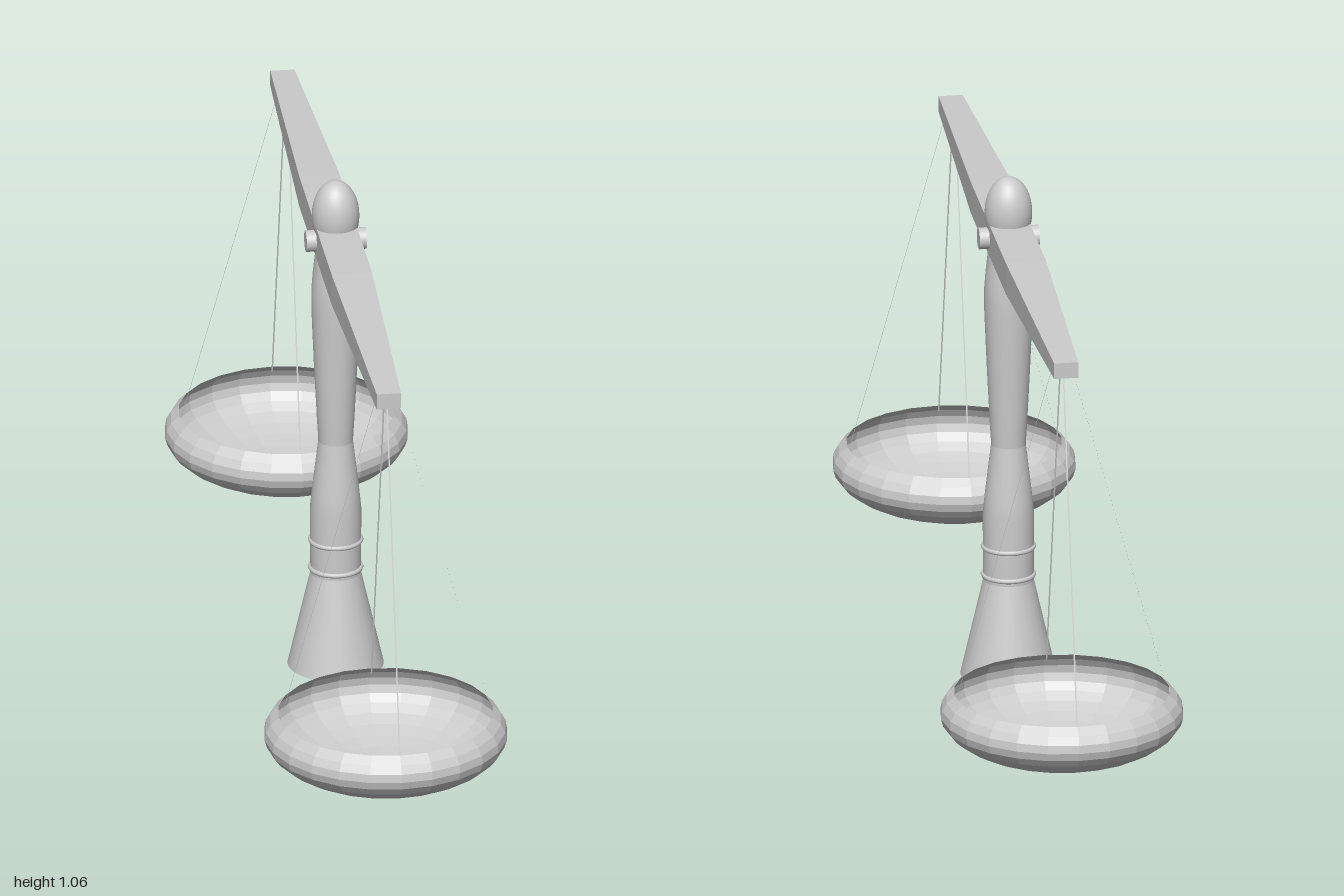
import * as THREE from 'three';

const POST_Z = -0.006;

export function createModel() {
  const group = new THREE.Group();
  const smooth = new THREE.MeshStandardMaterial({ color: 0xcccccc });
  const flat = new THREE.MeshStandardMaterial({ color: 0xcccccc, flatShading: true });
  const bowl = new THREE.MeshStandardMaterial({ color: 0xcccccc, flatShading: true, side: THREE.DoubleSide });
  const thin = new THREE.MeshStandardMaterial({ color: 0xcccccc, side: THREE.DoubleSide });

  const add = (name, geometry, material, x = 0, y = 0, z = 0, parent = group) => {
    const mesh = new THREE.Mesh(geometry, material);
    mesh.name = name;
    mesh.position.set(x, y, z);
    parent.add(mesh);
    return mesh;
  };
  const lathe = (points, segments) =>
    new THREE.LatheGeometry(points.map(([r, y]) => new THREE.Vector2(r, y)), segments);

  // Flared foot
  add('base', new THREE.CylinderGeometry(0.049, 0.097, 0.21, 32), smooth, 0, 0.105, POST_Z);

  // Turned post in two lengths, meeting at the waist
  add('lowerPost', lathe([[0.051, 0.2], [0.052, 0.34], [0.048, 0.38], [0.041, 0.44], [0.035, 0.49]], 32),
    smooth, 0, 0, POST_Z);
  add('upperPost', lathe([[0.035, 0.49], [0.038, 0.54], [0.044, 0.66], [0.049, 0.78], [0.049, 0.82],
    [0.046, 0.86], [0.041, 0.905], [0.041, 0.95], [0, 0.95]], 32), smooth, 0, 0, POST_Z);

  // Raised bands around the post
  for (const y of [0.212, 0.272]) {
    const band = add('postBand', new THREE.TorusGeometry(0.051, 0.005, 8, 32), smooth, 0, y, POST_Z);
    band.rotation.x = Math.PI / 2;
  }

  // Domed finial
  const finial = add('finial', new THREE.SphereGeometry(0.048, 32, 20), smooth, 0, 0.985, POST_Z);
  finial.scale.y = 1.56;

  // Beam: box whose cross-section narrows towards both ends
  const beamGeometry = new THREE.BoxGeometry(0.082, 0.066, 1.614, 1, 1, 3);
  const p = beamGeometry.attributes.position;
  for (let i = 0; i < p.count; i++) {
    const z = p.getZ(i);
    if (Math.abs(z) > 0.5) p.setXY(i, p.getX(i) * 0.6, p.getY(i) * 0.5);
    else p.setZ(i, Math.sign(z) * 0.245);
  }
  add('beam', beamGeometry, flat, 0, 0.931, POST_Z);

  // Pivot pin through the beam
  const pin = add('pivotPin', new THREE.CylinderGeometry(0.022, 0.022, 0.122, 24), smooth, 0, 0.931, POST_Z);
  pin.rotation.z = Math.PI / 2;

  // Pan: squashed sphere cut open above its widest line
  const profile = [];
  for (let i = 0; i <= 12; i++) {
    const a = THREE.MathUtils.lerp(-Math.PI / 2, 0.483, i / 12);
    profile.push([Math.max(0, 0.246 * Math.cos(a)), 0.18 + 0.097 * Math.sin(a)]);
  }
  const panGeometry = lathe(profile, 24);

  // Cord: narrow ribbon from under the beam out to the rim
  const w = 0.0015;
  const cordGeometry = new THREE.BufferGeometry();
  cordGeometry.setAttribute('position', new THREE.Float32BufferAttribute([
    0.215, 0.215, w, 0.215, 0.215, -w, 0.02, 0.915, -w, 0.02, 0.915, w], 3));
  cordGeometry.setIndex([0, 1, 2, 0, 2, 3]);
  cordGeometry.computeVertexNormals();

  for (const [side, z] of [['front', 0.752], ['back', -0.752]]) {
    const hanging = new THREE.Group();
    hanging.name = side + 'HangingPan';
    hanging.position.z = z;
    group.add(hanging);
    add(side + 'Pan', panGeometry, bowl, 0, 0, 0, hanging);
    for (let i = 0; i < 4; i++) {
      const cord = add(side + 'Cord', cordGeometry, thin, 0, 0, 0, hanging);
      cord.rotation.y = i * Math.PI / 2;
    }
  }
  return group;
}
